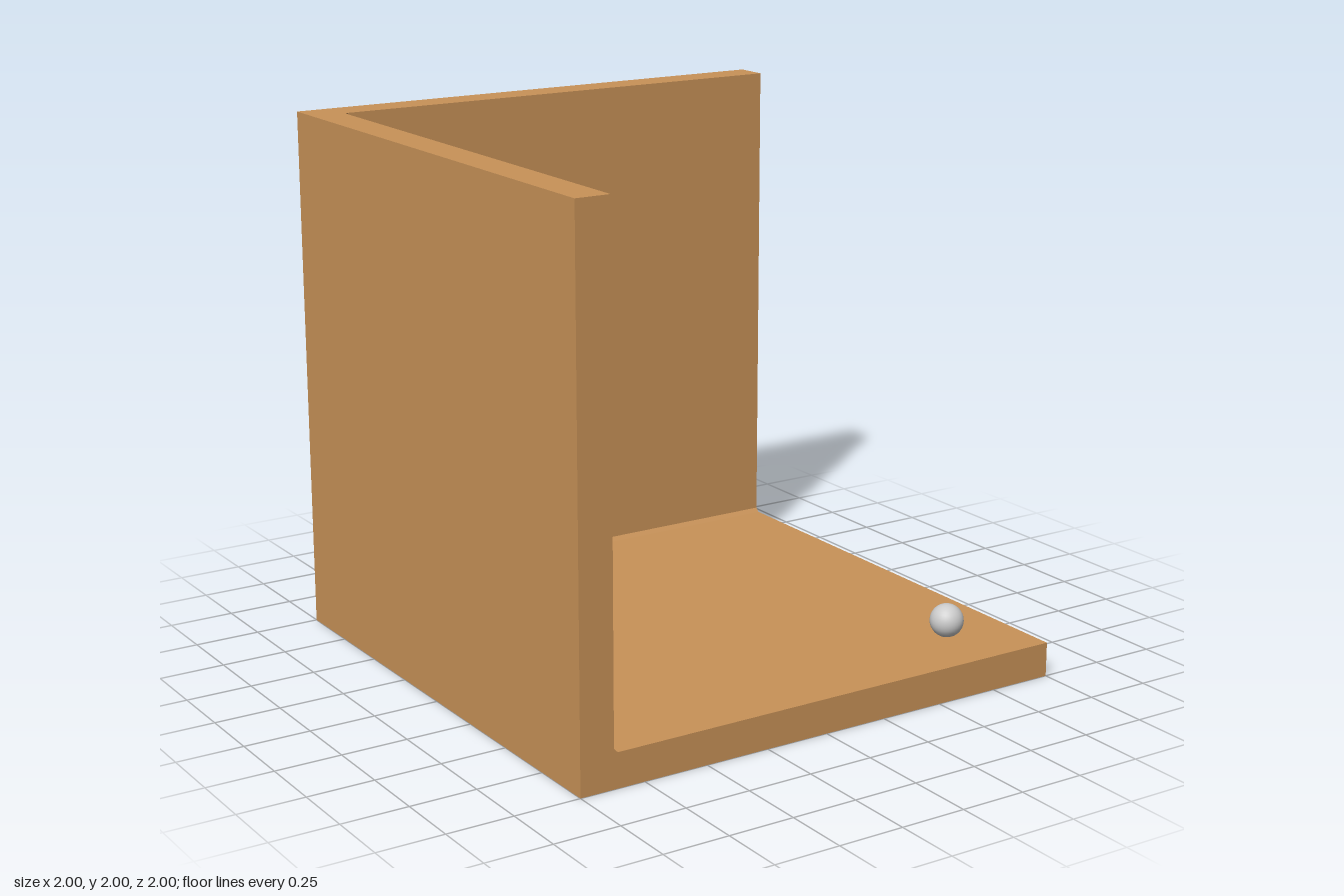
import * as THREE from 'three';

const mat = (color) => new THREE.MeshStandardMaterial({ color, flatShading: true });
const WALL = mat(0xc89258), DESK = mat(0x67423b), LEG = mat(0xc98870);
const FRAME = mat(0x2b2e2d), KEYS = mat(0x3a3a3a);
const SCREEN = mat(0xcccccc);

function add(parent, name, geometry, material, x = 0, y = 0, z = 0) {
  const mesh = new THREE.Mesh(geometry, material);
  mesh.name = name;
  mesh.position.set(x, y, z);
  parent.add(mesh);
  return mesh;
}

const box = (parent, name, w, h, d, material, x, y, z) =>
  add(parent, name, new THREE.BoxGeometry(w, h, d), material, x, y, z);

// Extrudes a floor plan (x, -z) upwards
function extrudeUp(shape, depth, options = {}) {
  return new THREE.ExtrudeGeometry(shape, { depth, bevelEnabled: false, ...options }).rotateX(-Math.PI / 2);
}

function rectPath(path, w, h) {
  path.moveTo(-w / 2, -h / 2);
  path.lineTo(w / 2, -h / 2);
  path.lineTo(w / 2, h / 2);
  path.lineTo(-w / 2, h / 2);
  path.closePath();
  return path;
}

function createRoom() {
  const room = new THREE.Group();
  room.name = 'room';
  const inner = 0.87, floorTop = 0.13, c = 0.015;
  box(room, 'floor', 2, floorTop, 2, WALL, 0, floorTop / 2, 0);

  // Two walls in one L-shaped plan with a chamfered inner corner
  const plan = new THREE.Shape([
    [-1, -1], [-inner, -1], [-inner, inner - c], [-inner + c, inner], [1, inner], [1, 1], [-1, 1],
  ].map(([x, y]) => new THREE.Vector2(x, y)));
  add(room, 'walls', extrudeUp(plan, 2 - floorTop), WALL, 0, floorTop, 0);

  // Chamfer strips where the walls meet the floor
  const wedge = new THREE.Shape([[0, 0], [c, 0], [0, c]].map(([x, y]) => new THREE.Vector2(x, y)));
  const strip = new THREE.ExtrudeGeometry(wedge, { depth: 1 + inner, bevelEnabled: false });
  add(room, 'sideWallChamfer', strip, WALL, -inner, floorTop, -inner);
  add(room, 'backWallChamfer', strip, WALL, 1, floorTop, -inner).rotation.y = -Math.PI / 2;
  return room;
}

function createDesk() {
  const desk = new THREE.Group();
  desk.name = 'cornerDesk';

  // Top with a curved inner edge and a fine bevel
  const b = 0.006;
  const far = -0.855 + b, near = -0.05 - b, edge = -0.52 - b;
  const plan = new THREE.Shape();
  plan.moveTo(far, -far);
  plan.lineTo(far, -near);
  plan.lineTo(edge, -near);
  plan.lineTo(edge, 0.24);
  plan.absarc(-0.24, 0.24, -0.24 - edge, Math.PI, Math.PI / 2, true);
  plan.lineTo(near, -edge);
  plan.lineTo(near, -far);
  plan.closePath();
  const top = extrudeUp(plan, 0.085 - 2 * b, {
    bevelEnabled: true, bevelThickness: b, bevelSize: b, bevelSegments: 1, curveSegments: 6,
  });
  add(desk, 'deskTop', top, DESK, 0, 0.565 + b, 0);

  // Legs
  const back = -0.81, end = -0.15, mid = -0.56;
  for (const [x, z] of [[back, back], [back, end], [mid, end], [end, back], [end, mid]])
    box(desk, 'leg', 0.055, 0.44, 0.055, LEG, x, 0.35, z);

  // Low rails between the legs
  const rails = [[back, back, end, back], [back, back, back, end], [back, end, mid, end], [end, back, end, mid]];
  for (const [x0, z0, x1, z1] of rails)
    box(desk, 'rail', Math.max(x1 - x0, 0.025), 0.025, Math.max(z1 - z0, 0.025), LEG,
      (x0 + x1) / 2, 0.19, (z0 + z1) / 2);
  return desk;
}

function createMonitor(name, x, z, angle) {
  const monitor = new THREE.Group();
  monitor.name = name;
  monitor.position.set(x, 0.65, z);
  monitor.rotation.y = angle;

  // Stand
  box(monitor, 'standBase', 0.25, 0.02, 0.12, FRAME, 0, 0.01, 0);
  box(monitor, 'standNeck', 0.045, 0.05, 0.03, FRAME, 0, 0.04, 0);

  // Tilted head with neck, bezel and recessed screen
  const head = new THREE.Group();
  head.name = 'head';
  head.position.y = 0.21;
  head.rotation.x = -THREE.MathUtils.degToRad(18);
  monitor.add(head);
  box(head, 'upperNeck', 0.055, 0.16, 0.025, FRAME, 0, -0.09, -0.02);
  const bezel = rectPath(new THREE.Shape(), 0.43, 0.26);
  bezel.holes.push(rectPath(new THREE.Path(), 0.385, 0.205));
  add(head, 'bezel', new THREE.ExtrudeGeometry(bezel, { depth: 0.02, bevelEnabled: false }), FRAME, 0, 0, -0.01);
  box(head, 'backPanel', 0.43, 0.26, 0.004, FRAME, 0, 0, -0.01);
  box(head, 'screen', 0.385, 0.205, 0.01, SCREEN, 0, 0, 0);
  return monitor;
}

export function createModel() {
  const model = new THREE.Group();
  model.name = 'deskCorner';
  model.add(createRoom(), createDesk());

  const turn = THREE.MathUtils.degToRad(18);
  model.add(createMonitor('backMonitor', -0.43, -0.75, turn));
  model.add(createMonitor('sideMonitor', -0.75, -0.44, Math.PI / 2 - turn));

  // Keyboard
  box(model, 'keyboard', 0.34, 0.015, 0.09, KEYS, -0.52, 0.657, -0.49).rotation.y = Math.PI / 4;

  // Ball on the floor
  const ballMaterial = new THREE.MeshStandardMaterial({ color: 0xcccccc });
  add(model, 'ball', new THREE.SphereGeometry(0.063, 32, 16), ballMaterial, 0.72, 0.2, 0.76);
  return model;
}
